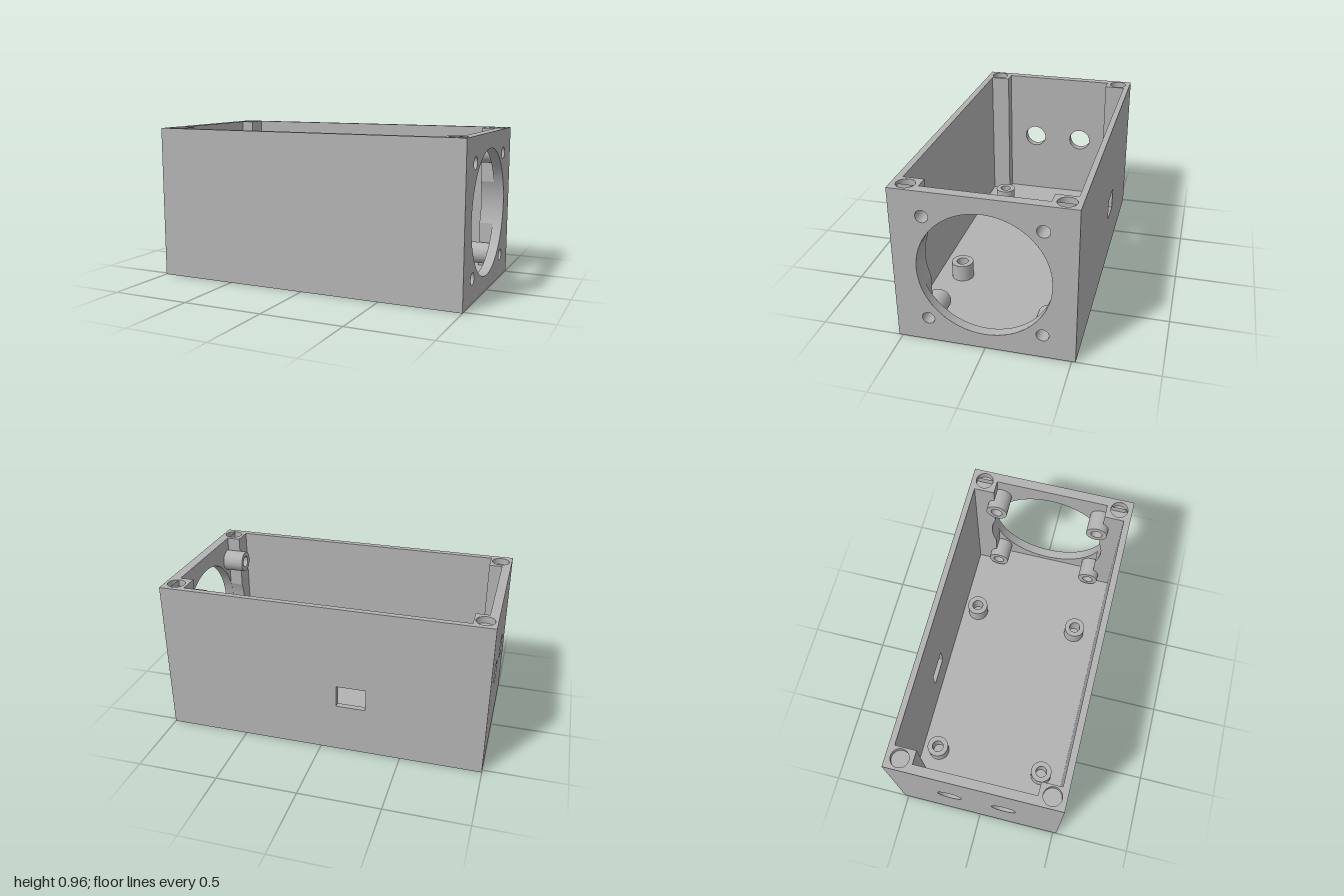
import * as THREE from 'three';

const H = 0.96, Z = 0.523;                  // outer height, half depth
const FLOOR = 0.06, IL = -0.945, IR = 0.94; // floor top, inner end walls
const IF = 0.483, IB = -0.488;              // inner front and back walls
const PL = -0.865, PR = 0.855, PZ = 0.36;   // corner post faces
const FAN = { z: 0, y: 0.48, r: 0.385 };
const BORES = [[1, 0.15], [1, 0.81], [-1, 0.15], [-1, 0.81]].map(([s, y]) => ({ z: s * 0.333, y, r: 0.037 }));
const PORTS = [0.17, -0.17].map((z) => ({ z, y: 0.494, r: 0.075 }));
const SLOT = { x0: -0.28, x1: -0.1, y0: 0.31, y1: 0.447 };

// Each direction: the u and v axes of a flat face; its normal is u cross v
const V = (x, y, z) => new THREE.Vector3(x, y, z);
const DIRS = {
  front: [V(1, 0, 0), V(0, 1, 0)], back: [V(-1, 0, 0), V(0, 1, 0)],
  right: [V(0, 0, -1), V(0, 1, 0)], left: [V(0, 0, 1), V(0, 1, 0)],
  up: [V(1, 0, 0), V(0, 0, -1)], down: [V(1, 0, 0), V(0, 0, 1)],
};

const rect = (u0, v0, u1, v1) => new THREE.Shape([[u0, v0], [u1, v0], [u1, v1], [u0, v1]].map((p) => new THREE.Vector2(...p)));
const circle = (u, v, r) => new THREE.Path().absarc(u, v, r, 0, Math.PI * 2, true);

export function createModel() {
  const model = new THREE.Group();
  model.name = 'enclosure';
  const grey = new THREE.MeshStandardMaterial({ color: 0xb3b3b3, side: THREE.DoubleSide });
  grey.name = 'grey plastic';

  const add = (name, geometry) => {
    const mesh = new THREE.Mesh(geometry, grey);
    mesh.name = name;
    model.add(mesh);
    return mesh;
  };

  // Flat face looking along dir, at distance d along its normal
  const face = (name, dir, d, shape, holes = []) => {
    shape.holes.push(...holes);
    const [u, v] = DIRS[dir];
    const n = u.clone().cross(v);
    const g = new THREE.ShapeGeometry(shape, 48);
    g.applyMatrix4(new THREE.Matrix4().makeBasis(u, v, n).setPosition(n.multiplyScalar(d)));
    return add(name, g);
  };

  // Open cylinder surface along x or y
  const tubeX = (name, x0, x1, { z, y, r }, start = 0, length = Math.PI * 2) => {
    const g = new THREE.CylinderGeometry(r, r, x1 - x0, 64, 1, true, start, length);
    g.rotateZ(-Math.PI / 2).translate((x0 + x1) / 2, y, z);
    add(name, g);
  };
  const tubeY = (name, y0, y1, x, z, r) =>
    add(name, new THREE.CylinderGeometry(r, r, y1 - y0, 48, 1, true).translate(x, (y0 + y1) / 2, z));

  // Outer skin
  const roundHoles = (list, s) => list.map((h) => circle(s * h.z, h.y, h.r));
  face('frontOuterWall', 'front', Z, rect(-1, 0, 1, H));
  face('backOuterWall', 'back', Z, rect(-1, 0, 1, H), [rect(-SLOT.x1, SLOT.y0, -SLOT.x0, SLOT.y1)]);
  face('rightOuterWall', 'right', 1, rect(-Z, 0, Z, H), roundHoles([FAN, ...BORES], -1));
  face('leftOuterWall', 'left', 1, rect(-Z, 0, Z, H), roundHoles(PORTS, 1));
  face('underside', 'down', 0, rect(-1, -Z, 1, Z));

  // Inner skin
  face('frontInnerWall', 'back', -IF, rect(-PR, FLOOR, -PL, H));
  face('backInnerWall', 'front', IB, rect(PL, FLOOR, PR, H), [rect(SLOT.x0, SLOT.y0, SLOT.x1, SLOT.y1)]);
  face('rightInnerWall', 'left', -IR, rect(IB, FLOOR, IF, H), roundHoles([FAN, ...BORES], 1));
  face('leftInnerWall', 'right', IL, rect(-PZ, FLOOR, PZ, H), roundHoles(PORTS, -1));
  face('floor', 'up', FLOOR, rect(IL, -IF, IR, -IB));

  // Rim with the stepped cavity and screw recesses
  const cavity = new THREE.Path([
    [PL, -IF], [PL, -PZ], [IL, -PZ], [IL, PZ], [PL, PZ], [PL, -IB],
    [PR, -IB], [PR, PZ], [IR, PZ], [IR, -PZ], [PR, -PZ], [PR, -IF],
  ].map((p) => new THREE.Vector2(...p)));
  const recesses = [-0.93, 0.928].flatMap((x) => [-0.44, 0.44].map((z) => [x, z]));
  face('rim', 'up', H, rect(-1, -Z, 1, Z), [cavity, ...recesses.map(([x, z]) => circle(x, -z, 0.054))]);
  for (const [x, z] of recesses) {
    tubeY('recessWall', H - 0.04, H, x, z, 0.054);
    face('recessFloor', 'up', H - 0.04, new THREE.Shape().absarc(x, -z, 0.054, 0, Math.PI * 2));
  }

  // Corner posts; the right pair is notched by the fan opening and bores
  const notches = [BORES[1], FAN, BORES[0]].map((h) => ({ ...h, a: Math.acos((PZ - h.z) / h.r) }));
  for (const s of [1, -1]) {
    const end = s > 0 ? IF : -IB;
    face('leftPostFace', 'right', PL, s > 0 ? rect(-end, FLOOR, -PZ, H) : rect(PZ, FLOOR, end, H));
    const sideDir = s > 0 ? 'back' : 'front', f = s > 0 ? -1 : 1;
    const side = (name, x0, x1, y0, y1) =>
      face(name, sideDir, -PZ, rect(Math.min(f * x0, f * x1), y0, Math.max(f * x0, f * x1), y1));
    side('leftPostSide', IL, PL, FLOOR, H);

    const outline = new THREE.Shape().moveTo(s * end, FLOOR).lineTo(s * end, H).lineTo(s * PZ, H);
    let top = H;
    for (const { z, y, r, a } of notches) {
      if (s > 0) outline.absarc(z, y, r, a, -a, true);
      else outline.absarc(-z, y, r, Math.PI - a, Math.PI + a, false);
      side('rightPostSide', PR, IR, y + r * Math.sin(a), top);
      top = y - r * Math.sin(a);
    }
    side('rightPostSide', PR, IR, FLOOR, top);
    outline.lineTo(s * PZ, FLOOR);
    face('rightPostFace', 'left', -PR, outline);
    const a = notches[1].a;
    tubeX('postFanCut', PR, IR, FAN, (s > 0 ? 0 : Math.PI) - a, 2 * a);
  }

  // Round openings through the end walls
  tubeX('fanOpening', IR, 1, FAN);
  PORTS.forEach((p) => tubeX('cablePort', -1, IL, p));

  // Sides of the back slot
  const { x0, x1, y0, y1 } = SLOT;
  face('slotSill', 'up', y0, rect(x0, -IB, x1, Z));
  face('slotHead', 'down', -y1, rect(x0, -Z, x1, IB));
  face('slotSide', 'right', x0, rect(-IB, y0, Z, y1));
  face('slotSide', 'left', -x1, rect(-Z, y0, IB, y1));

  // Fan mounting bosses
  for (const b of BORES) {
    tubeX('fanBoss', 0.805, IR, { ...b, r: 0.068 });
    tubeX('fanBossBore', 0.805, 1, b);
    face('fanBossEnd', 'left', -0.805, new THREE.Shape().absarc(b.z, b.y, 0.068, 0, Math.PI * 2), [circle(b.z, b.y, b.r)]);
  }

  // Board standoffs on the floor
  for (const [x, z] of [[-0.655, -0.378], [-0.655, 0.335], [0.405, -0.385], [0.405, 0.326]]) {
    tubeY('standoff', FLOOR, 0.167, x, z, 0.068);
    tubeY('standoffBore', FLOOR, 0.167, x, z, 0.036);
    face('standoffTop', 'up', 0.167, new THREE.Shape().absarc(x, -z, 0.068, 0, Math.PI * 2), [circle(x, -z, 0.036)]);
  }
  return model;
}
